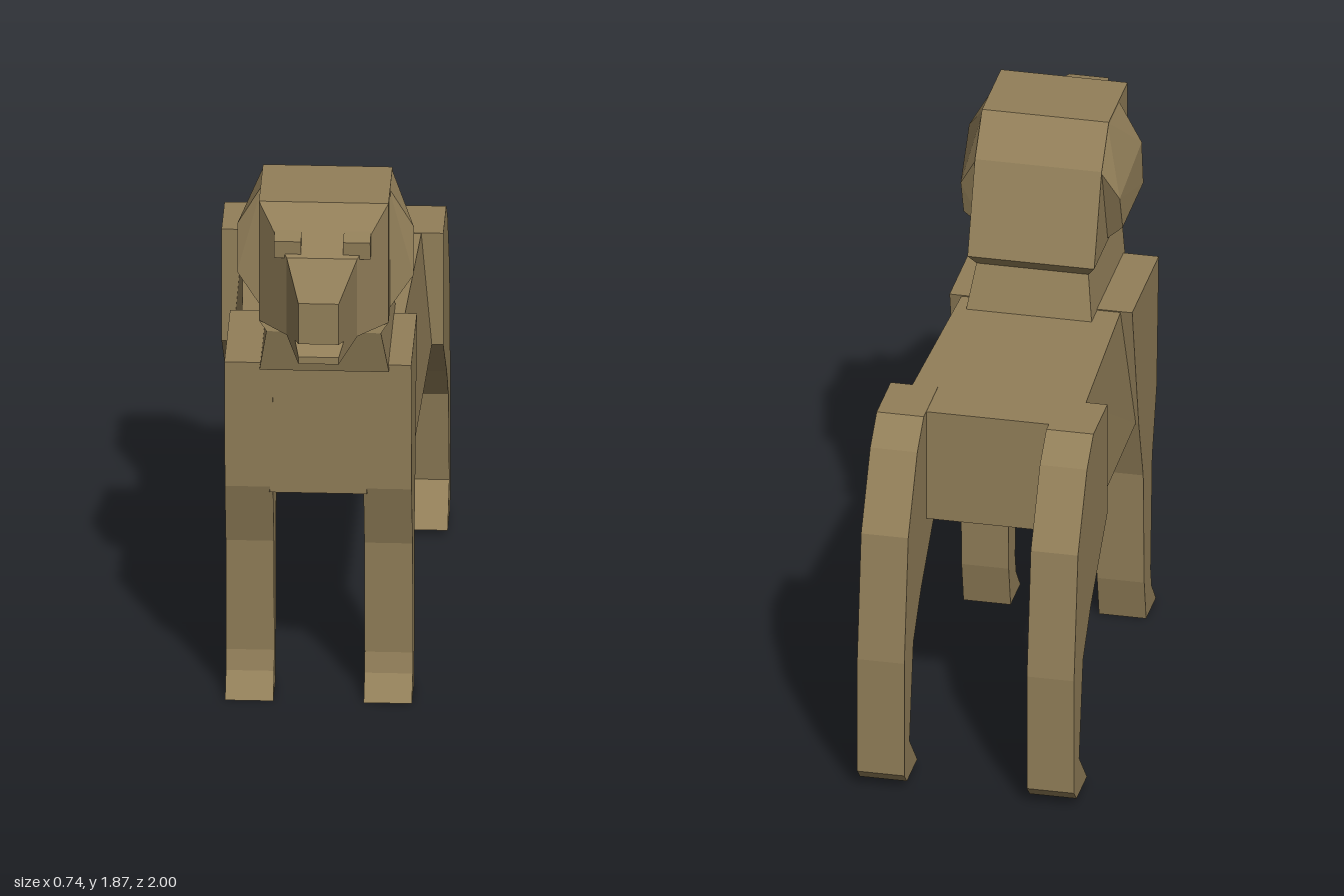
import * as THREE from 'three';
import { ConvexGeometry } from 'three/addons/geometries/ConvexGeometry.js';

const coat = new THREE.MeshStandardMaterial({ color: 0x927f59 });
coat.name = 'tan coat';

function part(name, geometry) {
  const mesh = new THREE.Mesh(geometry, coat);
  mesh.name = name;
  return mesh;
}

// Side profile of [z, y] points, given a width and centred on x
function profile(points, width, x) {
  const shape = new THREE.Shape(points.map(([z, y]) => new THREE.Vector2(z, y)));
  const geo = new THREE.ExtrudeGeometry(shape, { depth: width, bevelEnabled: false });
  geo.rotateY(-Math.PI / 2);
  geo.translate(x + width / 2, 0, 0);
  return geo;
}

// Four-cornered sections from back to front:
// [bottom z, bottom y, bottom half width, top z, top y, top half width]
function loft(sections) {
  const rings = sections.map(([zb, yb, wb, zt, yt, wt]) => [
    [wb, yb, zb], [wt, yt, zt], [-wt, yt, zt], [-wb, yb, zb],
  ]);
  const pos = [];
  const quad = (a, b, c, d) => pos.push(...a, ...b, ...c, ...a, ...c, ...d);
  for (let s = 0; s < rings.length - 1; s++) {
    for (let i = 0; i < 4; i++) {
      const j = (i + 1) % 4;
      quad(rings[s][i], rings[s][j], rings[s + 1][j], rings[s + 1][i]);
    }
  }
  quad(...rings[0].slice().reverse());
  quad(...rings[rings.length - 1]);
  const geo = new THREE.BufferGeometry();
  geo.setAttribute('position', new THREE.Float32BufferAttribute(pos, 3));
  geo.computeVertexNormals();
  return geo;
}

export function createModel() {
  const model = new THREE.Group();
  model.name = 'dog';

  // Torso, from rump to chest
  model.add(part('torso', loft([
    [-0.66, 0.85, 0.25, -0.66, 1.25, 0.25],
    [-0.49, 0.845, 0.33, -0.49, 1.25, 0.295],
    [0.26, 0.79, 0.3, 0.16, 1.253, 0.27],
    [0.54, 0.77, 0.16, 0.568, 1.255, 0.16],
  ])));

  // Legs
  const foreleg = [
    [0.57, 1.257], [0.16, 1.257], [0.26, 0.79], [0.33, 0.56], [0.345, 0.15], [0.375, 0],
    [0.525, 0], [0.46, 0.08], [0.445, 0.15], [0.47, 0.56], [0.54, 0.79],
  ];
  const hindLeg = [
    [-0.485, 1.252], [-0.7, 1.252], [-0.8, 1.17], [-0.94, 0.92], [-1, 0.48], [-1, 0.06],
    [-0.96, 0.02], [-0.8, 0.02], [-0.92, 0.15], [-0.86, 0.49], [-0.74, 0.63], [-0.485, 0.845],
  ];
  for (const [side, s] of [['left', 1], ['right', -1]]) {
    model.add(part(side + 'ForeLeg', profile(foreleg, 0.16, s * 0.23)));
    model.add(part(side + 'HindLeg', profile(hindLeg, 0.16, s * 0.288)));
  }

  // Head and neck sit slightly off centre
  const head = new THREE.Group();
  head.name = 'head';
  head.position.x = 0.022;
  model.add(head);

  head.add(part('neck', loft([
    [0.07, 1.238, 0.215, 0.13, 1.4, 0.19],
    [0.585, 1.238, 0.215, 0.63, 1.4, 0.19],
  ])));
  head.add(part('throat', loft([
    [0.13, 1.4, 0.19, 0.105, 1.435, 0.215],
    [0.63, 1.4, 0.19, 0.62, 1.435, 0.215],
  ])));
  head.add(part('skull', loft([
    [0.105, 1.435, 0.215, 0.22, 1.74, 0.215],
    [0.33, 1.435, 0.215, 0.33, 1.87, 0.215],
    [0.62, 1.435, 0.215, 0.62, 1.87, 0.215],
    [0.75, 1.443, 0.117, 0.75, 1.725, 0.117],
  ])));

  // Tapering snout with the mouth notched into its front
  const snout = profile([
    [0.75, 1.443], [1, 1.455], [1, 1.48], [0.93, 1.508], [1, 1.527], [1, 1.675], [0.75, 1.725],
  ], 1, 0);
  const p = snout.attributes.position;
  for (let i = 0; i < p.count; i++) {
    const t = (p.getZ(i) - 0.75) / 0.25;
    p.setX(i, p.getX(i) * 2 * THREE.MathUtils.lerp(0.117, 0.067, t));
  }
  snout.computeVertexNormals();
  head.add(part('snout', snout));

  for (const [side, s] of [['left', 1], ['right', -1]]) {
    // Small brow block over each eye
    head.add(part(side + 'Brow', profile(
      [[0.66, 1.71], [0.74, 1.72], [0.745, 1.782], [0.68, 1.798]], 0.09, s * 0.115)));
    // Ear: flat against the skull, standing out most at its front edge
    const ear = [
      [0.21, 1.87, 0.495], [0.21, 1.87, 0.33], [0.21, 1.74, 0.22],
      [0.21, 1.44, 0.53], [0.21, 1.44, 0.315],
      [0.293, 1.725, 0.485], [0.293, 1.56, 0.51],
      [0.27, 1.63, 0.25], [0.27, 1.5, 0.295],
    ].map(([x, y, z]) => new THREE.Vector3(s * x, y, z));
    head.add(part(side + 'Ear', new ConvexGeometry(ear)));
  }

  return model;
}
